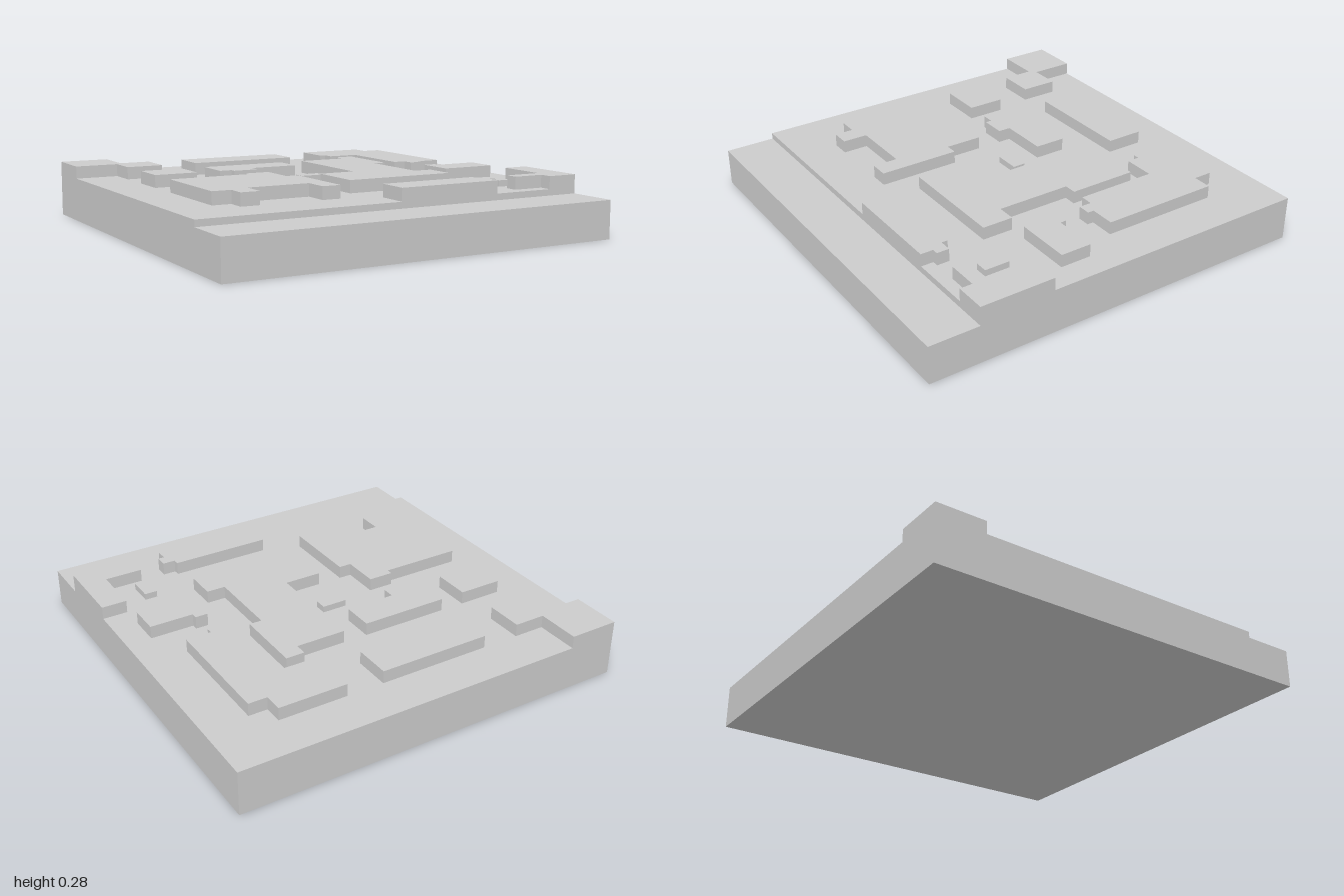
import * as THREE from 'three';

// All layout numbers are on a grid of 1/32 unit.
const U = 1 / 32;
const material = new THREE.MeshStandardMaterial({ color: 0xcccccc, flatShading: true });

const outline = (points) => new THREE.Shape(points.map(([a, b]) => new THREE.Vector2(a * U, b * U)));

const extrude = (points, depth) =>
  new THREE.ExtrudeGeometry(outline(points), { depth: depth * U, bevelEnabled: false });

const rect = (x0, z0, x1, z1) => [[x0, z0], [x1, z0], [x1, z1], [x0, z1]];

// Raises a floor plan of [x, z] corners from the terrace (height 7) by the given height.
function block(name, plan, height = 2) {
  const geometry = extrude(plan.map(([x, z]) => [x, -z]), height);
  geometry.rotateX(-Math.PI / 2).translate(0, 7 * U, 0);
  const mesh = new THREE.Mesh(geometry, material);
  mesh.name = name;
  return mesh;
}

export function createModel() {
  const model = new THREE.Group();
  model.name = 'blockRelief';

  // Base slab with a low step along the front, extruded across x from its [z, y] profile
  const base = extrude([[-32, 0], [32, 0], [32, 6], [24, 6], [24, 7], [-32, 7]], 64);
  base.rotateY(-Math.PI / 2).translate(32 * U, 0, 0);
  const slab = new THREE.Mesh(base, material);
  slab.name = 'steppedBase';
  model.add(slab);

  // Raised blocks
  const plans = {
    backCornerBlock: [[-32, -32], [-24, -32], [-24, -25], [-19, -25], [-19, -19], [-25, -19], [-25, -24], [-32, -24]],
    backBar: rect(-13, -25, 5, -19),
    hookBlock: [[11, -25], [22, -25], [22, -22], [25, -22], [25, -3], [21, -3], [21, -2], [19, -2],
      [19, -4], [17, -4], [17, -17], [12, -17], [12, -19], [11, -19]],
    sideBlock: rect(-25, -13, -18, -7),
    notchedBar: [[-14, -13], [0, -13], [0, -8], [-8, -8], [-8, -6], [-12, -6], [-12, -7], [-14, -7]],
    centreBlock: [[4, -13], [12, -13], [12, -15], [15, -15], [15, -4], [13, -4], [13, 8], [16, 8],
      [16, 13], [-2, 13], [-2, 4], [4, 4]],
    leggedBlock: [[-25, -1], [-12, -1], [-12, -2], [-8, -2], [-8, 4], [-6, 4], [-6, 17], [-9, 17],
      [-9, 13], [-19, 13], [-19, 17], [-22, 17], [-22, 14], [-25, 14]],
    tabbedBlock: [[19, 2], [21, 2], [21, 3], [28, 3], [28, 8], [19, 8]],
    frontBar: [[0, 19], [16, 19], [16, 20], [18, 20], [18, 22], [17, 22], [17, 24], [0, 24]],
    frontCornerBlock: [[32, 12], [28, 12], [28, 20], [22, 20], [22, 22], [27, 22], [27, 24], [32, 24]],
  };
  for (const [name, plan] of Object.entries(plans)) model.add(block(name, plan));

  // Two half-height pads
  model.add(block('centrePad', rect(-2, -4, 2, -2), 1));
  model.add(block('frontPad', rect(22, 14, 24, 18), 1));

  return model;
}
